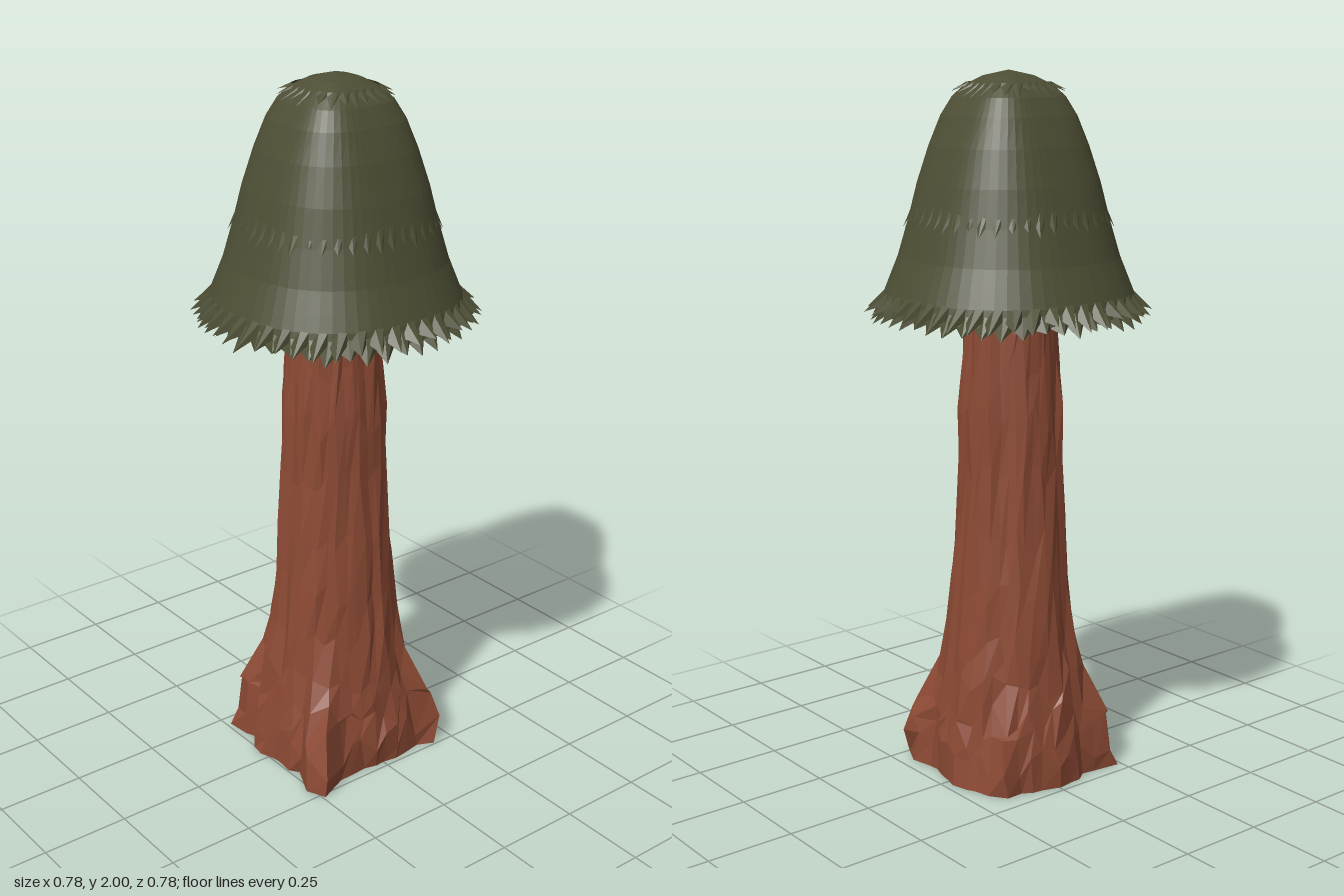
import * as THREE from 'three';

const TAU = Math.PI * 2;

// Seeded random numbers
function seeded(seed) {
  let s = seed;
  return () => {
    s = (s * 16807) % 2147483647;
    return s / 2147483647;
  };
}

// Piecewise linear lookup in [[y, value], ...] with rising y
function lookup(table, y) {
  for (let i = 1; i < table.length; i++) {
    const [y0, a] = table[i - 1], [y1, b] = table[i];
    if (y <= y1) return a + (b - a) * (y - y0) / (y1 - y0);
  }
  return table[table.length - 1][1];
}

// Closed loft: point(column, row) gives [x, y, z]; rows run from top to bottom
function loft(columns, rows, point) {
  const positions = [], index = [];
  for (let j = 0; j < rows; j++)
    for (let i = 0; i < columns; i++) positions.push(...point(i, j));
  for (let j = 0; j < rows - 1; j++)
    for (let i = 0; i < columns; i++) {
      const k = (i + 1) % columns;
      const a = j * columns + i, b = j * columns + k;
      const c = a + columns, d = b + columns;
      index.push(a, c, b, b, c, d);
    }
  const geometry = new THREE.BufferGeometry();
  geometry.setAttribute('position', new THREE.Float32BufferAttribute(positions, 3));
  geometry.setIndex(index);
  const flat = geometry.toNonIndexed();
  flat.computeVertexNormals();
  return flat;
}

// Rounded-square plan: power 2 is a circle, higher is squarer
function squircle(angle, power) {
  const c = Math.abs(Math.cos(angle)), s = Math.abs(Math.sin(angle));
  return Math.pow(c ** power + s ** power, -1 / power);
}

function ringPoint(angle, radius, y, power) {
  const r = radius * squircle(angle, power);
  return [r * Math.sin(angle), y, r * Math.cos(angle)];
}

// Trunk with long bark facets, a slight knot halfway up and four flared roots on the diagonals
function trunkGeometry() {
  const columns = 38;
  const random = seeded(71);
  const heights = [1.43, 1.33, 1.2, 1.06, 0.9, 0.72, 0.55, 0.4, 0.29, 0.21, 0.15, 0.08, 0];
  const radii = [[0, 0.235], [0.1, 0.23], [0.25, 0.205], [0.4, 0.185], [0.6, 0.167],
    [0.8, 0.149], [0.9, 0.144], [1.06, 0.146], [1.2, 0.134], [1.33, 0.127], [1.43, 0.122]];
  const flare = [[0, 1], [0.08, 0.97], [0.15, 0.85], [0.21, 0.55], [0.29, 0.15], [0.4, 0]];
  // Direction in eighths of a turn, reach and half width of each root
  const roots = [[1, 0.125, 0.19], [3, 0.085, 0.18], [5, 0.055, 0.17], [7, 0.08, 0.18]];
  const ridges = Array.from({ length: columns }, () => (random() - 0.5) * 0.1);
  return loft(columns, heights.length, (i, j) => {
    const edge = j === 0 || j === heights.length - 1;
    const y = heights[j] + (edge ? 0 : (random() - 0.5) * 0.09);
    const angle = (i + (random() - 0.5) * 0.6) / columns * TAU;
    let r = lookup(radii, y) * (1 + ridges[i] + (random() - 0.5) * 0.08);
    for (const [eighth, reach, width] of roots) {
      const off = Math.abs(angle - eighth * TAU / 8);
      r += reach * lookup(flare, y) * Math.exp(-((off / width) ** 2));
    }
    return [0.008 + r * Math.sin(angle), Math.max(0, y), 0.016 + r * Math.cos(angle)];
  });
}

// Hollow bell of foliage, squarer toward the top
const bell = [[1.33, 0.352], [1.4, 0.334], [1.5, 0.293], [1.6, 0.263], [1.7, 0.234], [1.8, 0.2],
  [1.88, 0.165], [1.93, 0.135], [1.96, 0.105], [1.985, 0.06], [2, 0]];
const plan = [[1.33, 2.2], [1.6, 2.35], [1.8, 2.7], [1.95, 3.4], [2, 3.6]];

function bellGeometry() {
  const heights = [2, 1.985, 1.96, 1.93, 1.88, 1.8, 1.7, 1.6, 1.5, 1.44, 1.4, 1.355];
  const columns = 64;
  return loft(columns, heights.length, (i, j) =>
    ringPoint(i / columns * TAU, lookup(bell, heights[j]), heights[j], lookup(plan, heights[j])));
}

// Jagged fringe: a smooth upper edge and uneven pointed tips along the lower edge
function fringeGeometry({ teeth, top, valley, tip, power, shift = 0, seed }) {
  const random = seeded(seed);
  const columns = teeth * 2;
  return loft(columns, 2, (i, j) => {
    const angle = (i + shift) / columns * TAU;
    if (j === 0) return ringPoint(angle, top[0], top[1], power);
    const [r, y] = i % 2 ? tip : valley;
    const jitter = i % 2 ? random() : 0.5;
    return ringPoint(angle + (jitter - 0.5) * 0.05, r - jitter * 0.012, y + (jitter - 0.5) * 0.025, power);
  });
}

export function createModel() {
  const tree = new THREE.Group();
  tree.name = 'tree';

  const material = (name, color) => {
    const m = new THREE.MeshStandardMaterial({ color, flatShading: true, side: THREE.DoubleSide });
    m.name = name;
    return m;
  };
  const bark = material('bark brown', 0x8c4a34);
  const leaf = material('leaf green', 0x4d4e34);

  const add = (name, geometry, mat, parent) => {
    const mesh = new THREE.Mesh(geometry, mat);
    mesh.name = name;
    parent.add(mesh);
  };

  add('trunk', trunkGeometry(), bark, tree);

  const canopy = new THREE.Group();
  canopy.name = 'canopy';
  tree.add(canopy);
  add('foliageBell', bellGeometry(), leaf, canopy);

  // Overlapping fringes, from the crown down to the hem
  const fringes = {
    crownFringe: { teeth: 26, top: [0.1, 1.968], valley: [0.114, 1.957], tip: [0.145, 1.938], power: 3.5, seed: 5 },
    middleFringe: { teeth: 44, top: [0.246, 1.655], valley: [0.26, 1.62], tip: [0.278, 1.587], power: 2.33, seed: 11 },
    upperHem: { teeth: 44, top: [0.332, 1.405], valley: [0.345, 1.372], tip: [0.392, 1.35], power: 2.2, seed: 23 },
    lowerHem: { teeth: 44, top: [0.338, 1.385], valley: [0.348, 1.35], tip: [0.376, 1.33], power: 2.2, shift: 1, seed: 37 },
  };
  for (const [name, spec] of Object.entries(fringes)) add(name, fringeGeometry(spec), leaf, canopy);

  return tree;
}
